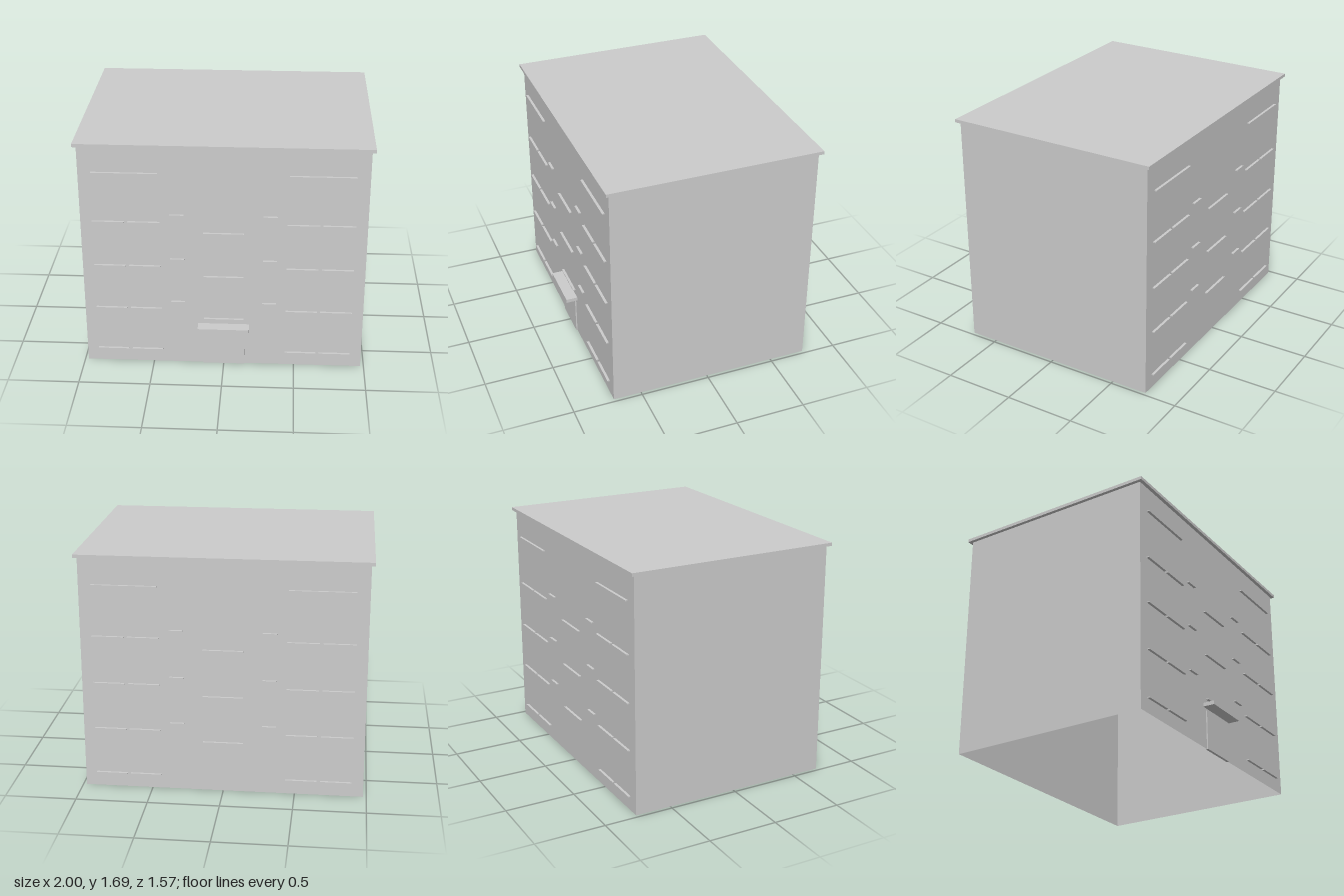
import * as THREE from 'three';

const W = 0.976, FRONT = 0.702, BACK = -0.76, WALL_TOP = 1.667;

export function createModel() {
  const model = new THREE.Group();
  model.name = 'apartmentBlock';
  const grey = new THREE.MeshStandardMaterial({ color: 0xcccccc });
  const wallGrey = new THREE.MeshStandardMaterial({ color: 0xcccccc, side: THREE.DoubleSide });

  // Box given by its extents on each axis
  function box(name, x0, x1, y0, y1, z0, z1, parent = model) {
    const mesh = new THREE.Mesh(new THREE.BoxGeometry(x1 - x0, y1 - y0, z1 - z0), grey);
    mesh.position.set((x0 + x1) / 2, (y0 + y1) / 2, (z0 + z1) / 2);
    mesh.name = name;
    parent.add(mesh);
  }

  // Four thin walls, open underneath
  const walls = new THREE.Group();
  walls.name = 'walls';
  model.add(walls);
  const midZ = (FRONT + BACK) / 2, depth = FRONT - BACK;
  const wallSpecs = [
    ['frontWall', 2 * W, 0, FRONT, 0],
    ['leftWall', depth, W, midZ, Math.PI / 2],
    ['backWall', 2 * W, 0, BACK, Math.PI],
    ['rightWall', depth, -W, midZ, -Math.PI / 2],
  ];
  for (const [name, width, x, z, turn] of wallSpecs) {
    const wall = new THREE.Mesh(new THREE.PlaneGeometry(width, WALL_TOP), wallGrey);
    wall.position.set(x, WALL_TOP / 2, z);
    wall.rotation.y = turn;
    wall.name = name;
    walls.add(wall);
  }

  // Flat roof slab with a small overhang
  box('roofSlab', -1, 1, WALL_TOP, 1.69, -0.785, 0.727);

  // Entrance
  box('entranceDoor', -0.147, 0.147, 0, 0.28, FRONT - 0.01, 0.711);
  box('entranceCanopy', -0.18, 0.18, 0.298, 0.325, FRONT, 0.785);

  // Window sills, the same on the front and back walls
  const STOREY = 0.3375, T = 0.0035;
  for (const [side, z0, z1] of [['front', FRONT, FRONT + 0.018], ['back', BACK - 0.018, BACK]]) {
    const sills = new THREE.Group();
    sills.name = side + 'Sills';
    model.add(sills);
    const sill = (name, x0, x1, y) => box(name, x0, x1, y - T, y + T, z0, z1, sills);
    const pair = (name, x0, x1, y) => {
      sill(name + 'Left', x0, x1, y);
      sill(name + 'Right', -x1, -x0, y);
    };
    for (let i = 0; i < 4; i++) {
      pair('innerSill', 0.434, 0.653, 0.104 + i * STOREY);
      pair('outerSill', 0.676, 0.896, 0.104 + i * STOREY);
    }
    for (let i = 0; i < 3; i++) {
      pair('narrowSill', 0.27, 0.367, 0.5 + i * STOREY);
      sill('stairSill', -0.139, 0.139, 0.367 + i * STOREY);
    }
    pair('topSill', 0.44, 0.888, 1.479);
  }
  return model;
}
